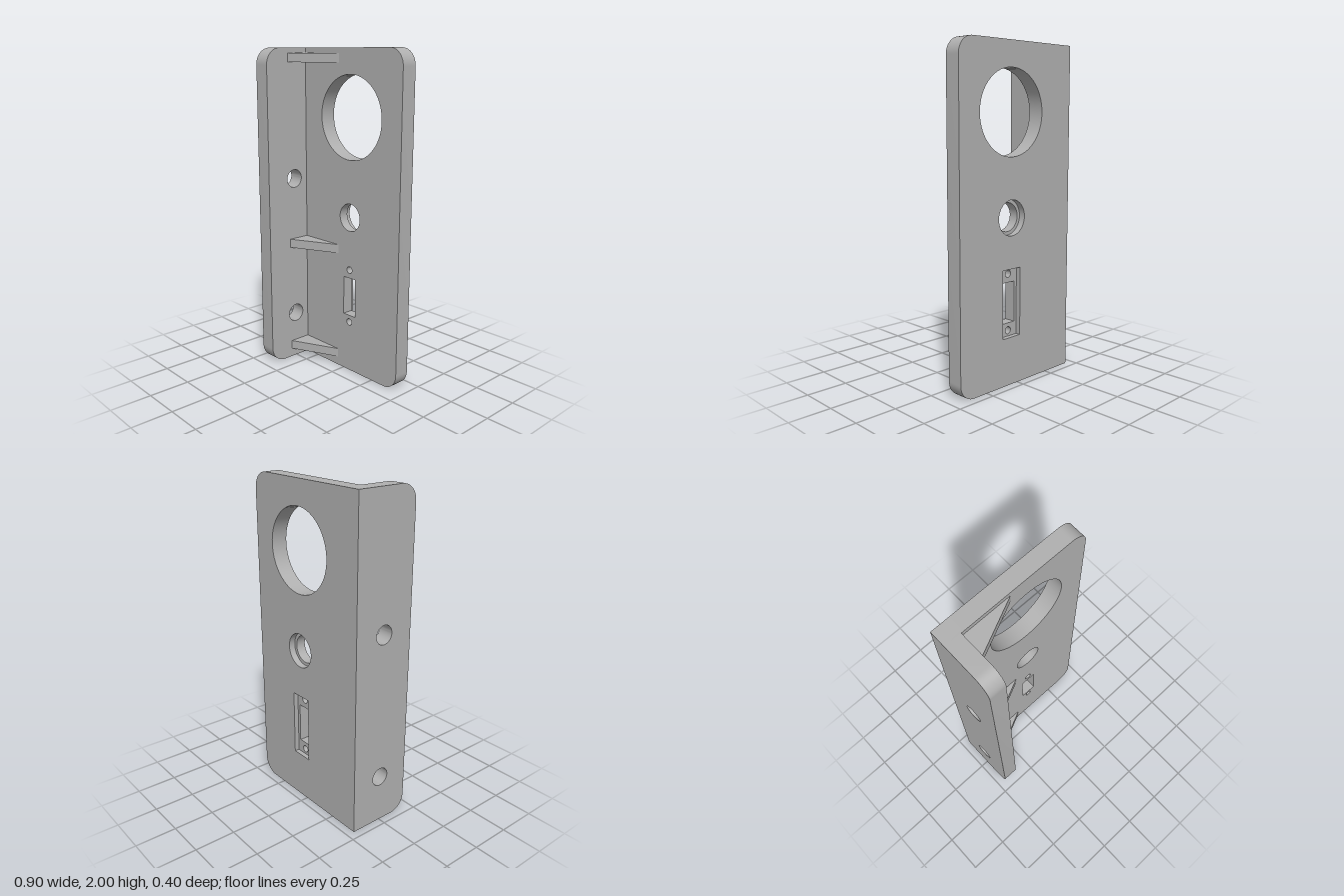
import * as THREE from 'three';
import { mergeGeometries, toCreasedNormals } from 'three/addons/utils/BufferGeometryUtils.js';

const H = 2, R = 0.1;

// Panel outline: straight on the x0 side, rounded corners on the x1 side
function panel(x0, x1) {
  const s = new THREE.Shape();
  s.moveTo(x0, 0);
  s.lineTo(x1 - R, 0);
  s.absarc(x1 - R, R, R, -Math.PI / 2, 0);
  s.absarc(x1 - R, H - R, R, 0, Math.PI / 2);
  s.lineTo(x0, H);
  return s.getPoints(8);
}

// Closed clockwise hole outlines
function circle(x, y, r, n = 48) {
  return Array.from({ length: n + 1 }, (_, i) => {
    const a = -(i % n) / n * Math.PI * 2;
    return new THREE.Vector2(x + r * Math.cos(a), y + r * Math.sin(a));
  });
}
function rect(x0, x1, y0, y1) {
  return [[x0, y0], [x0, y1], [x1, y1], [x1, y0], [x0, y0]].map(p => new THREE.Vector2(...p));
}

// Flat face at depth z, facing +z or (flipped) -z
function face(outline, holes, z, flip = false) {
  const s = new THREE.Shape(outline);
  s.holes = holes.map(h => new THREE.Path(h));
  const g = new THREE.ShapeGeometry(s);
  if (flip) g.index.array.reverse();
  g.translate(0, 0, z);
  const out = g.toNonIndexed();
  out.deleteAttribute('uv');
  out.computeVertexNormals();
  return out;
}

// Wall swept along z; faces to the right of the path direction
function wall(points, z0, z1) {
  const v = [];
  for (let i = 0; i + 1 < points.length; i++) {
    const a = points[i], b = points[i + 1];
    v.push(a.x, a.y, z0, b.x, b.y, z0, b.x, b.y, z1, a.x, a.y, z0, b.x, b.y, z1, a.x, a.y, z1);
  }
  const g = new THREE.BufferGeometry();
  g.setAttribute('position', new THREE.Float32BufferAttribute(v, 3));
  g.computeVertexNormals();
  return g;
}

export function createModel() {
  const model = new THREE.Group();
  const grey = new THREE.MeshStandardMaterial({ color: 0xb0b0b0 });
  const add = (name, geometry) => {
    const mesh = new THREE.Mesh(geometry, grey);
    mesh.name = name;
    model.add(mesh);
    return mesh;
  };
  const join = parts => toCreasedNormals(mergeGeometries(parts), 0.6);

  // Front plate, with a counterbore and a stepped slot recessed from behind
  const zB = -0.2, zF = -0.1, zBore = zB + 0.04, zSlot = zB + 0.03;
  const dial = circle(0.05, 1.6, 0.25, 72);
  const bore = circle(0.05, 1, 0.085), counterbore = circle(0.05, 1, 0.105);
  const slot = rect(0, 0.1, 0.37, 0.615), recess = rect(-0.02, 0.12, 0.29, 0.7);
  const screws = [0.325, 0.667].map(y => circle(0.05, y, 0.022, 24));
  add('frontPlate', join([
    face(panel(-0.35, 0.45), [dial, bore, slot, ...screws], zF),
    face(panel(-0.45, 0.45), [dial, counterbore, recess], zB, true),
    face(counterbore, [bore], zBore, true),
    face(recess, [slot, ...screws], zSlot, true),
    wall(panel(-0.45, 0.45), zB, zF),
    wall(dial, zB, zF),
    wall(counterbore, zB, zBore),
    wall(bore, zBore, zF),
    wall(recess, zB, zSlot),
    ...[slot, ...screws].map(h => wall(h, zSlot, zF)),
  ]));

  // Side flange, drawn in (z, y) and turned to stand along the plate's edge
  const mounts = [0.3, 1.2].map(y => circle(0, y, 0.057));
  add('sideFlange', join([
    face(panel(-0.2, 0.2), mounts, 0.45),
    face(panel(-0.1, 0.2), mounts, 0.35, true),
    wall(panel(-0.1, 0.2), 0.35, 0.45),
    ...mounts.map(h => wall(h, 0.35, 0.45)),
  ])).rotation.y = -Math.PI / 2;

  // Triangular gussets in the inner corner
  const triangle = new THREE.Shape([[-0.35, -0.1], [-0.05, -0.1], [-0.35, 0.04]].map(p => new THREE.Vector2(...p)));
  for (const top of [0.11, 0.81, 1.97]) {
    const g = new THREE.ExtrudeGeometry(triangle, { depth: 0.055, bevelEnabled: false });
    g.rotateX(Math.PI / 2);
    add('gusset', g).position.y = top;
  }
  return model;
}
